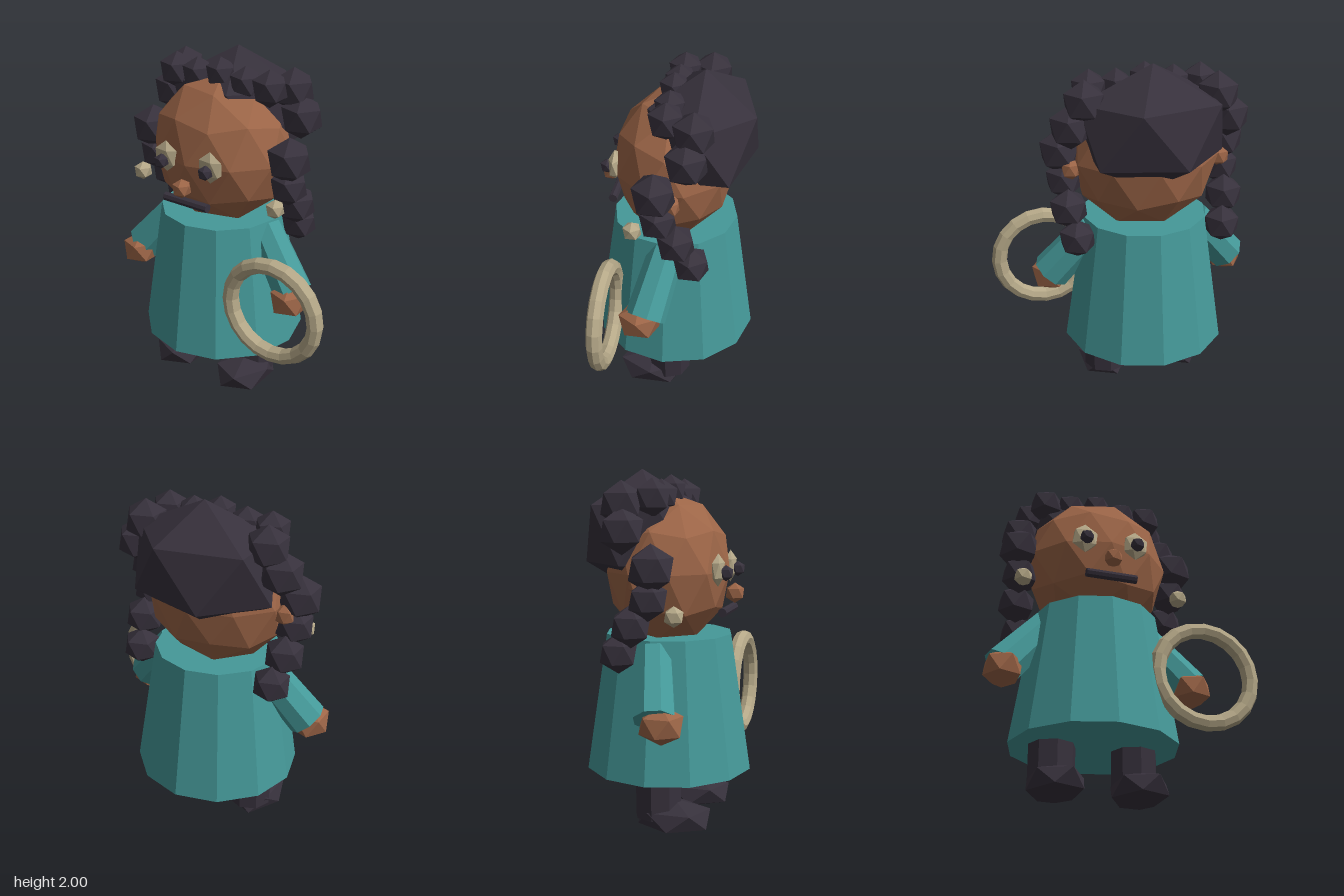
import * as THREE from 'three';

const mat = (color) => new THREE.MeshStandardMaterial({ color, flatShading: true });

export function createModel() {
  const root = new THREE.Group();
  const CX = -0.107; // the figure stands left of centre because of the hoop
  const figure = new THREE.Group();
  figure.name = 'figure';
  figure.position.x = CX;
  root.add(figure);

  const hair = mat(0x37313c), skin = mat(0x9c6547), teal = mat(0x459999), cream = mat(0xb5a888);

  const add = (name, geometry, material, pos, parent = figure) => {
    const mesh = new THREE.Mesh(geometry, material);
    mesh.name = name;
    mesh.position.set(...pos);
    parent.add(mesh);
    return mesh;
  };

  // Icosahedron with its poles on the y axis, stretched to the given radii
  const ico = (rx, ry = rx, rz = rx, detail = 0) =>
    new THREE.IcosahedronGeometry(1, detail)
      .rotateX(-Math.atan((1 + Math.sqrt(5)) / 2))
      .rotateY(Math.PI / 2)
      .scale(rx, ry, rz);

  // Tapered cylinder between two points
  const limb = (name, from, to, rFrom, rTo, sides, material) => {
    const a = new THREE.Vector3(...from), b = new THREE.Vector3(...to);
    const dir = b.clone().sub(a);
    const mid = a.clone().add(b).multiplyScalar(0.5);
    const mesh = add(name, new THREE.CylinderGeometry(rTo, rFrom, dir.length(), sides), material, mid.toArray());
    mesh.quaternion.setFromUnitVectors(new THREE.Vector3(0, 1, 0), dir.normalize());
    return mesh;
  };

  // Dress, head and hair cap
  add('dress', new THREE.CylinderGeometry(0.357, 0.473, 0.765, 12), teal, [0, 0.7175, 0]);
  add('head', ico(0.42, 0.42, 0.345, 1), skin, [0, 1.45, 0]);
  add('hairCap', ico(0.45, 0.35, 0.341), hair, [0, 1.65, -0.155]);

  // Nose and mouth
  add('nose', ico(0.056), skin, [0, 1.33, 0.375]);
  add('mouth', new THREE.CylinderGeometry(0.025, 0.025, 0.29, 8).rotateZ(Math.PI / 2), hair, [0, 1.235, 0.338]);

  // Curls of one side, from the crown down: offset, height, depth, radius
  const curls = [
    [0.365, 1.815, -0.15, 0.122],
    [0.31, 1.845, 0, 0.105],
    [0.16, 1.85, 0.005, 0.095],
    [0.435, 1.68, -0.125, 0.125],
    [0.465, 1.49, 0.04, 0.13],
    [0.455, 1.33, 0.02, 0.112],
    [0.45, 1.19, -0.075, 0.115],
    [0.42, 1.04, -0.155, 0.11],
  ];
  add('frontCurl', ico(0.09), hair, [0, 1.88, 0.01]);

  for (const s of [1, -1]) {
    const side = s > 0 ? 'left' : 'right';

    curls.forEach(([x, y, z, r], i) => add(`${side}Curl${i + 1}`, ico(r), hair, [s * x, y, z]));

    // Eye, ear and earring
    add(`${side}Eye`, ico(0.082, 0.09, 0.036), cream, [s * 0.148, 1.465, 0.315]);
    add(`${side}Pupil`, ico(0.043), hair, [s * 0.148, 1.45, 0.358]);
    add(`${side}Ear`, ico(0.06, 0.065, 0.045), skin, [s * 0.425, 1.41, -0.05]);
    add(`${side}Earring`, ico(0.056), cream, [s * 0.46, 1.25, 0.16]);

    // Arm and hand
    limb(`${side}Arm`, [s * 0.29, 1.03, 0], [s * 0.54, 0.725, 0.08], 0.1, 0.115, 8, teal);
    add(`${side}Hand`, ico(0.118, 0.108, 0.13), skin, [s * 0.54, 0.7, 0.115]);

    // Leg and foot
    limb(`${side}Leg`, [s * 0.23, 0.1, 0.003], [s * 0.23, 0.42, 0.003], 0.13, 0.13, 8, hair);
    add(`${side}Foot`, ico(0.172, 0.1, 0.229), hair, [s * 0.23, 0.1, 0.095]);
  }

  // Hoop held in front of the left hand
  add('hoop', new THREE.TorusGeometry(0.273, 0.046, 8, 20), cream, [0.437 - CX, 0.715, 0.305]);

  return root;
}
